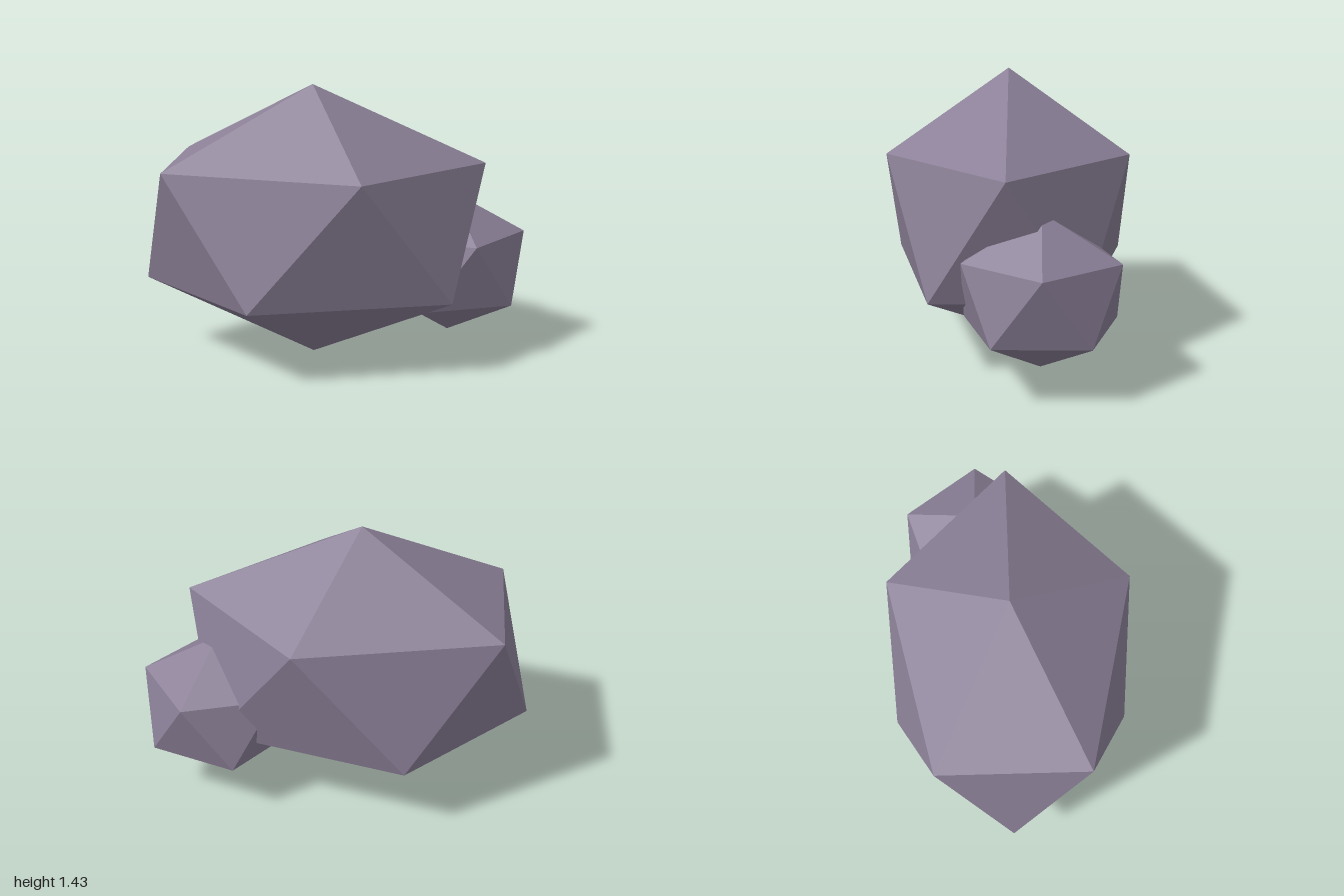
import * as THREE from 'three';

const stone = new THREE.MeshStandardMaterial({ color: 0x8a7f96, flatShading: true });

// Stretched icosahedron standing on a corner, with an upper ring corner toward +x
function boulder(name, radii, position) {
  const geometry = new THREE.IcosahedronGeometry(1, 0);
  geometry.rotateZ(-Math.atan(2 / (1 + Math.sqrt(5))));
  geometry.scale(...radii);
  geometry.computeVertexNormals();
  const mesh = new THREE.Mesh(geometry, stone);
  mesh.name = name;
  mesh.position.set(...position);
  return mesh;
}

export function createModel() {
  const group = new THREE.Group();
  group.name = 'rocks';
  group.add(
    boulder('largeRock', [0.99, 0.716, 0.716], [-0.115, 0.716, 0]),
    boulder('smallRock', [0.441, 0.386, 0.441], [0.602, 0.467, -0.165])
  );
  return group;
}
